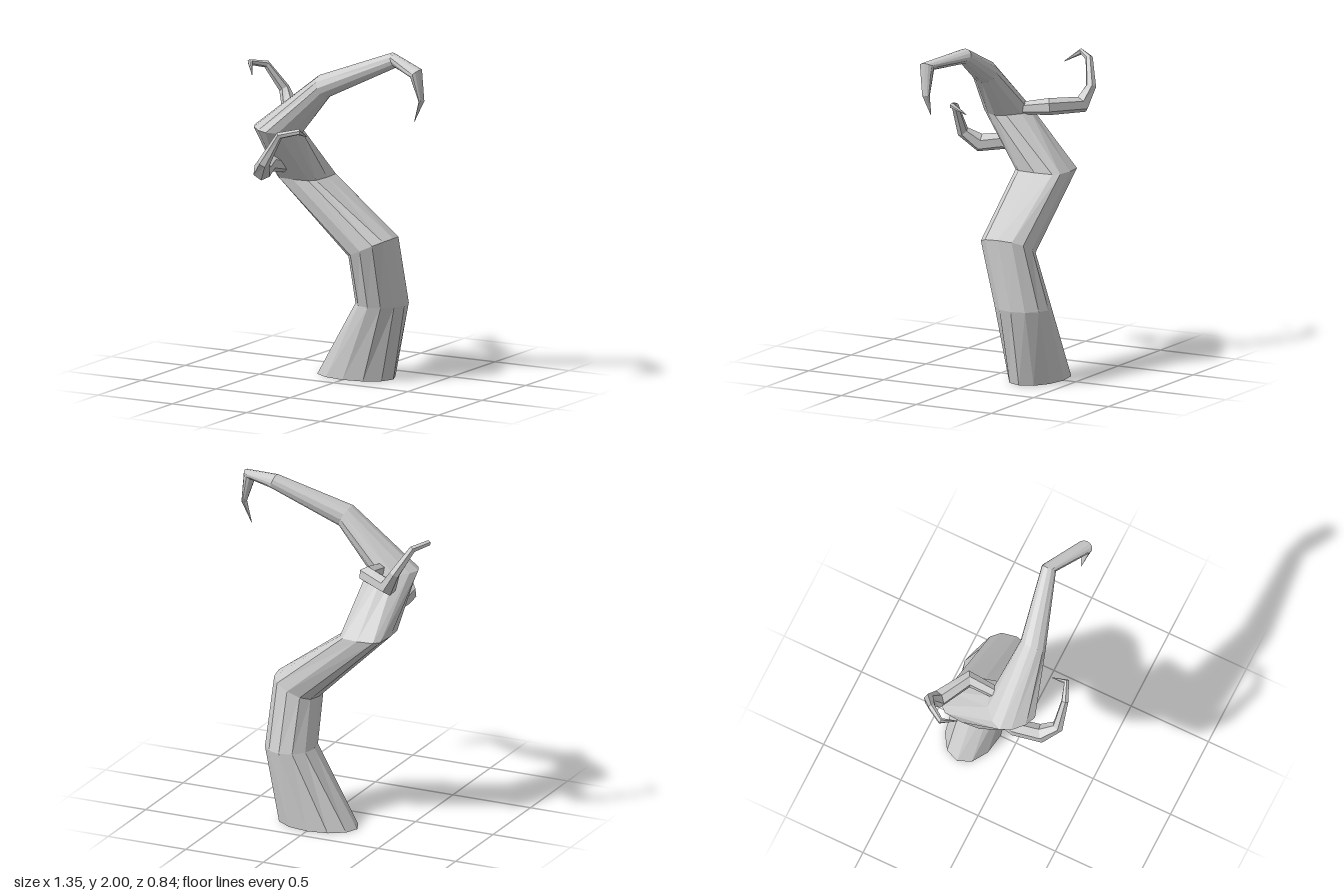
import * as THREE from 'three';

const material = new THREE.MeshStandardMaterial({ color: 0xcccccc, flatShading: true, side: THREE.DoubleSide });

// Skin a list of point rings (equal length) and close both ends.
function loft(name, rings) {
  const n = rings[0].length;
  const pos = [];
  const index = [];
  for (const ring of rings) for (const p of ring) pos.push(p.x, p.y, p.z);
  for (let r = 0; r < rings.length - 1; r++) {
    for (let i = 0; i < n; i++) {
      const a = r * n + i, b = r * n + (i + 1) % n;
      index.push(a, a + n, b, b, a + n, b + n);
    }
  }
  const last = (rings.length - 1) * n;
  for (let i = 1; i < n - 1; i++) {
    index.push(0, i, i + 1);
    index.push(last, last + i + 1, last + i);
  }
  const geometry = new THREE.BufferGeometry();
  geometry.setAttribute('position', new THREE.Float32BufferAttribute(pos, 3));
  geometry.setIndex(index);
  geometry.computeVertexNormals();
  const mesh = new THREE.Mesh(geometry, material);
  mesh.name = name;
  return mesh;
}

// Ring tilted about z; power below 1 squares it off, above 1 makes a diamond.
function tiltedRing([x, y, z, ru, rv, tilt, power = 1], sides = 12) {
  const t = THREE.MathUtils.degToRad(tilt);
  const shape = (s) => Math.sign(s) * Math.pow(Math.abs(s), power);
  return Array.from({ length: sides }, (_, i) => {
    const a = (i / sides) * Math.PI * 2;
    const u = shape(Math.cos(a)) * ru, v = shape(Math.sin(a)) * rv;
    return new THREE.Vector3(x + u * Math.cos(t), y + u * Math.sin(t), z + v);
  });
}

// Tapering twig along points [x, y, z, radius], frame carried along the path.
function twig(name, points, sides = 6) {
  const p = points.map(([x, y, z]) => new THREE.Vector3(x, y, z));
  const u = new THREE.Vector3(0, 1, 0);
  const rings = p.map((c, k) => {
    const into = c.clone().sub(p[Math.max(k - 1, 0)]).normalize();
    const out = p[Math.min(k + 1, p.length - 1)].clone().sub(c).normalize();
    const t = into.add(out).normalize();
    u.addScaledVector(t, -u.dot(t)).normalize();
    const v = u.clone().cross(t);
    return Array.from({ length: sides }, (_, i) => {
      const a = (i / sides) * Math.PI * 2, r = points[k][3];
      return c.clone().addScaledVector(u, Math.cos(a) * r).addScaledVector(v, Math.sin(a) * r);
    });
  });
  return loft(name, rings);
}

export function createModel() {
  const group = new THREE.Group();
  group.name = 'twistedTree';

  // Trunk that bends over into the long hooked main branch
  const trunk = [
    [0, 0, -0.26, 0.25, 0.16, 0],
    [0.18, 0.45, -0.25, 0.15, 0.17, 0],
    [0.18, 0.8, -0.15, 0.145, 0.16, 25, 0.85],
    [-0.27, 1.18, -0.15, 0.14, 0.16, 0, 0.5],
    [-0.3, 1.5, 0.12, 0.16, 0.15, -3, 1.3],
    [0, 1.78, 0.11, 0.07, 0.08, -63],
    [0.415, 1.96, 0.01, 0.045, 0.045, -70],
    [0.635, 1.925, 0.135, 0.04, 0.045, -140],
    [0.665, 1.76, 0.125, 0.014, 0.025, -175],
    [0.615, 1.635, 0.12, 0.002, 0.002, -150],
  ];
  group.add(loft('trunkAndMainBranch', trunk.map((s) => tiltedRing(s))));

  // Curled twig behind the bend
  group.add(twig('backTwig', [
    [-0.27, 1.52, 0.03, 0.035],
    [-0.27, 1.55, -0.17, 0.05],
    [-0.46, 1.54, -0.28, 0.052],
    [-0.515, 1.64, -0.31, 0.032],
    [-0.6, 1.785, -0.25, 0.022],
    [-0.66, 1.805, -0.165, 0.018],
    [-0.6, 1.75, -0.085, 0.002],
  ]));

  // Curled twig on the front of the trunk
  group.add(twig('frontTwig', [
    [-0.29, 1.25, -0.03, 0.04],
    [-0.34, 1.3, 0.16, 0.05],
    [-0.3, 1.28, 0.31, 0.055],
    [-0.24, 1.35, 0.39, 0.036],
    [-0.14, 1.52, 0.385, 0.022],
    [-0.035, 1.545, 0.345, 0.018],
    [-0.035, 1.5, 0.25, 0.002],
  ]));

  return group;
}
